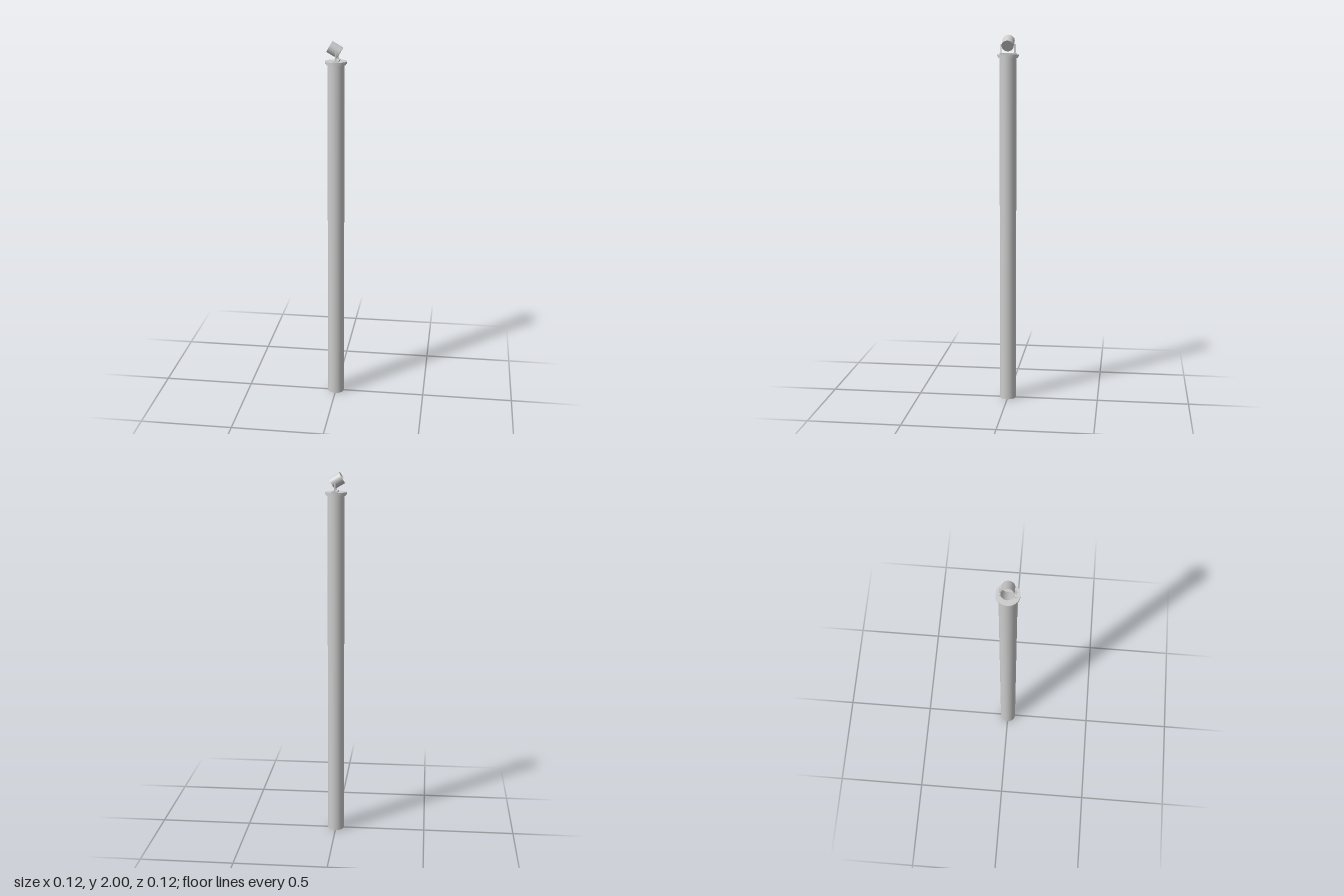
import * as THREE from 'three';

const material = new THREE.MeshStandardMaterial({ color: 0xcccccc });
const thinMaterial = new THREE.MeshStandardMaterial({ color: 0xcccccc, side: THREE.DoubleSide });

function add(parent, name, geometry, x, y, z, mat = material) {
  const mesh = new THREE.Mesh(geometry, mat);
  mesh.name = name;
  mesh.position.set(x, y, z);
  parent.add(mesh);
  return mesh;
}

const disc = (radius, height) => new THREE.CylinderGeometry(radius, radius, height, 32);

export function createModel() {
  const model = new THREE.Group();
  model.name = 'spotlightPole';

  // Tall column with a stepped cap
  add(model, 'pole', disc(0.045, 1.88), 0, 0.94, 0);
  add(model, 'capCollar', disc(0.052, 0.007), 0, 1.8825, 0);
  add(model, 'capPlate', disc(0.058, 0.011), 0, 1.8915, 0);

  // U-shaped bracket holding the lamp on both sides
  const bracket = new THREE.Group();
  bracket.name = 'bracket';
  model.add(bracket);
  add(bracket, 'bracketBase', new THREE.BoxGeometry(0.03, 0.007, 0.088), 0.003, 1.9, 0);
  for (const side of [-1, 1]) {
    add(bracket, 'bracketArm', new THREE.BoxGeometry(0.008, 0.05, 0.005), 0.003, 1.927, side * 0.0365);
    const pin = add(bracket, 'pivotPin', new THREE.CylinderGeometry(0.003, 0.003, 0.009, 12), 0.003, 1.949, side * 0.0345);
    pin.rotation.x = Math.PI / 2;
  }

  // Lamp: open at the upper left end, closed at the lower right end
  const lamp = new THREE.Group();
  lamp.name = 'lamp';
  lamp.position.set(-0.0065, 1.956, 0);
  lamp.rotation.z = Math.PI / 3;
  model.add(lamp);
  add(lamp, 'lampHousing', new THREE.CylinderGeometry(0.032, 0.032, 0.063, 32, 1, true), 0, 0, 0, thinMaterial);
  const back = add(lamp, 'lampBack', new THREE.CircleGeometry(0.032, 32), 0, -0.0315, 0, thinMaterial);
  back.rotation.x = Math.PI / 2;

  return model;
}
